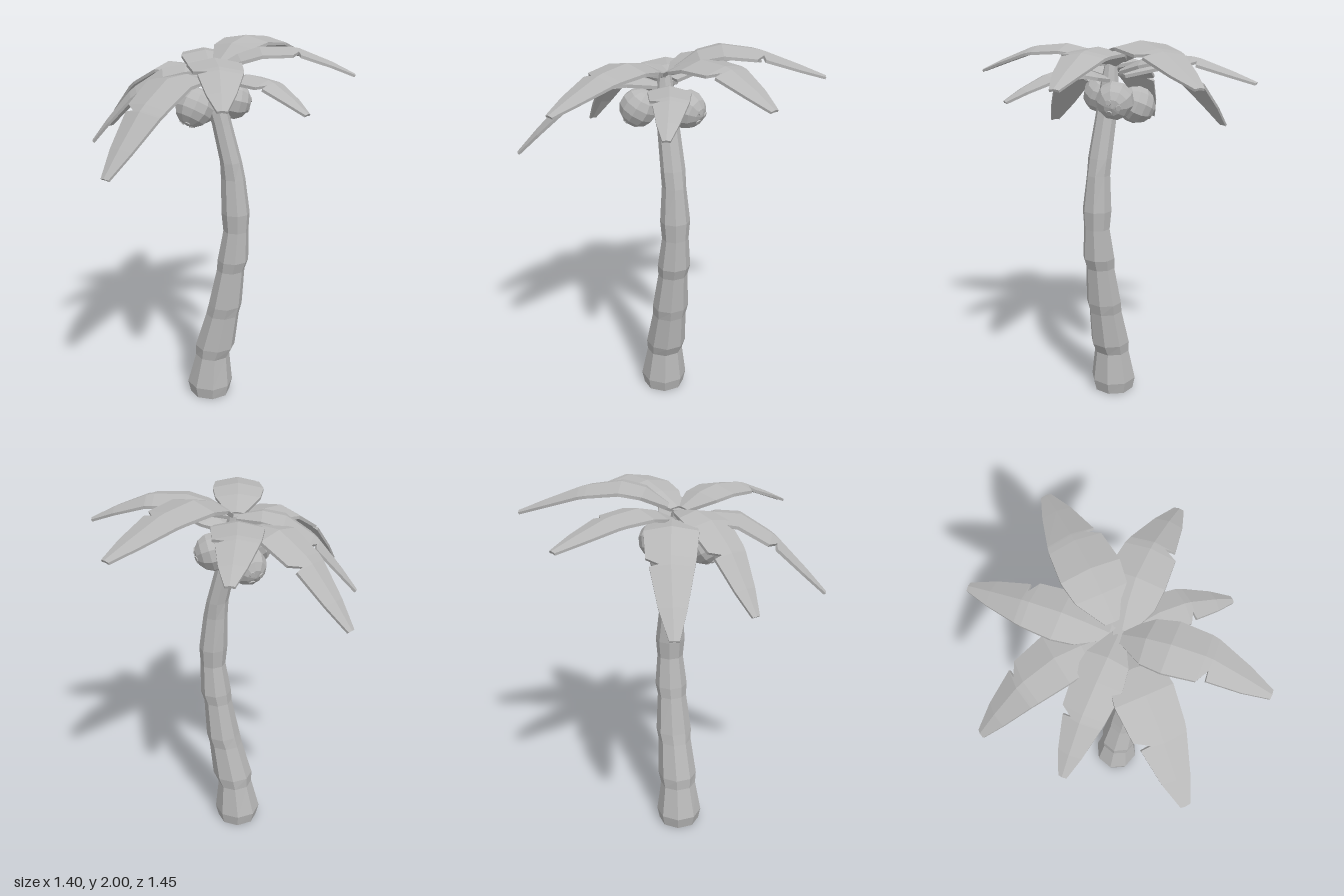
import * as THREE from 'three';

const V = (x, y, z) => new THREE.Vector3(x, y, z);
const grey = new THREE.MeshStandardMaterial({ color: 0xb8b8b8 });
grey.name = 'plain grey';

// Skin a list of equal-length rings, closing both ends; unshared corners keep every facet flat
function loft(rings) {
  const pos = [];
  const tri = (...pts) => pts.forEach((p) => pos.push(p.x, p.y, p.z));
  const n = rings[0].length;
  for (let r = 0; r < rings.length - 1; r++) {
    const a = rings[r], b = rings[r + 1];
    for (let i = 0; i < n; i++) {
      const j = (i + 1) % n;
      tri(a[i], b[i], a[j]);
      tri(a[j], b[i], b[j]);
    }
  }
  const first = rings[0], last = rings[rings.length - 1];
  for (let i = 1; i < n - 1; i++) {
    tri(first[0], first[i], first[i + 1]);
    tri(last[0], last[i + 1], last[i]);
  }
  const g = new THREE.BufferGeometry();
  g.setAttribute('position', new THREE.Float32BufferAttribute(pos, 3));
  g.computeVertexNormals();
  return g;
}

function part(name, geometry) {
  const m = new THREE.Mesh(geometry, grey);
  m.name = name;
  return m;
}

// Flat-shaded copy of a built-in geometry
function faceted(geometry) {
  const g = geometry.toNonIndexed();
  g.computeVertexNormals();
  return g;
}

// Eight-sided leaning trunk: [y, left x, right x, half depth] with a flare above each joint
function makeTrunk() {
  const profile = [
    [0, -0.12, 0.085, 0.105], [0.065, -0.135, 0.1, 0.117],
    [0.24, -0.09, 0.085, 0.092], [0.3, -0.09, 0.115, 0.1],
    [0.5, -0.03, 0.14, 0.085], [0.56, -0.015, 0.155, 0.092],
    [0.77, 0.03, 0.17, 0.074], [0.83, 0.035, 0.19, 0.082],
    [1.0, 0.065, 0.19, 0.066], [1.1, 0.055, 0.195, 0.074],
    [1.29, 0.05, 0.17, 0.058], [1.38, 0.045, 0.15, 0.061],
    [1.58, 0.0, 0.095, 0.055], [1.64, -0.02, 0.08, 0.054],
    [1.76, -0.03, 0.055, 0.045], [1.86, -0.03, 0.03, 0.03],
  ];
  const k = Math.cos(Math.PI / 8);
  return part('trunk', loft(profile.map(([y, x0, x1, d]) =>
    Array.from({ length: 8 }, (_, i) => {
      const a = (i + 0.5) * Math.PI / 4;
      return V((x0 + x1) / 2 + Math.cos(a) * (x1 - x0) / 2 / k, y, 0.02 + Math.sin(a) * d / k);
    }))));
}

// Folded, tapering frond with one notch torn from its edge
const frondStations = [ // position along the midrib, whole half width, notched half width
  [0, 0.04, 0.04], [0.17, 0.115, 0.115], [0.32, 0.132, 0.132], [0.53, 0.118, 0.118],
  [0.575, 0.112, 0.055], [0.585, 0.11, 0.1], [0.82, 0.068, 0.066], [1, 0.025, 0.022],
];
function makeFrond(points, width) {
  const curve = new THREE.CatmullRomCurve3(points.map((p) => V(...p)));
  const dir = points[3].map((v, i) => v - points[0][i]);
  const side = V(dir[2], 0, -dir[0]).normalize();
  const rings = frondStations.map(([t, whole, torn]) => {
    const c = curve.getPointAt(t);
    const up = curve.getTangentAt(t).cross(side).normalize();
    const thick = 0.018 - 0.006 * t;
    const at = (s, h) => c.clone().addScaledVector(side, s * width).addScaledVector(up, h);
    const fold = 0.2;
    return [
      at(0, 0.012), at(whole, 0.012 - whole * fold), at(whole, 0.012 - whole * fold - thick),
      at(0, 0.012 - thick), at(-torn, 0.012 - torn * fold - thick), at(-torn, 0.012 - torn * fold),
    ];
  });
  return part('frond', loft(rings));
}

// Faceted nut with three raised spots on the end that looks along dir
function makeCoconut(center, dir) {
  const nut = new THREE.Group();
  nut.name = 'coconut';
  const r = 0.1;
  nut.add(part('shell', faceted(new THREE.SphereGeometry(r, 10, 7))));
  const spot = faceted(new THREE.CylinderGeometry(0.014, 0.017, 0.012, 8));
  for (let i = 0; i < 3; i++) {
    const a = i * Math.PI * 2 / 3;
    const n = V(Math.cos(a) * 0.33, 0.94, Math.sin(a) * 0.33).normalize();
    const s = part('spot', spot);
    s.position.copy(n).multiplyScalar(r * 0.965);
    s.quaternion.setFromUnitVectors(V(0, 1, 0), n);
    nut.add(s);
  }
  nut.position.set(...center);
  nut.quaternion.setFromUnitVectors(V(0, 1, 0), V(...dir).normalize());
  return nut;
}

export function createModel() {
  const palm = new THREE.Group();
  palm.name = 'palmTree';
  palm.add(makeTrunk());

  // Crown of fronds: four midrib points from the heart to the tip, then a width scale
  const fronds = [
    [[[0.02, 1.86, 0.02], [0.19, 1.95, -0.06], [0.42, 1.945, -0.125], [0.69, 1.82, -0.19]], 1.05],
    [[[0.03, 1.78, 0.02], [0.2, 1.84, 0.09], [0.36, 1.81, 0.17], [0.53, 1.7, 0.27]], 0.8],
    [[[0.0, 1.86, 0.04], [0.05, 1.935, 0.2], [0.14, 1.92, 0.42], [0.23, 1.79, 0.71]], 1],
    [[[-0.02, 1.8, 0.05], [-0.13, 1.85, 0.25], [-0.22, 1.73, 0.45], [-0.33, 1.44, 0.7]], 1.08],
    [[[-0.01, 1.85, 0.02], [-0.19, 1.87, 0.08], [-0.4, 1.74, 0.13], [-0.6, 1.48, 0.18]], 0.9],
    [[[-0.03, 1.8, -0.02], [-0.25, 1.86, -0.11], [-0.46, 1.74, -0.19], [-0.69, 1.46, -0.26]], 1],
    [[[-0.02, 1.82, -0.03], [-0.1, 1.9, -0.2], [-0.17, 1.89, -0.4], [-0.25, 1.785, -0.69]], 0.97],
    [[[0.02, 1.88, -0.03], [0.08, 1.98, -0.18], [0.18, 1.965, -0.4], [0.33, 1.83, -0.72]], 1.1],
  ];
  fronds.forEach(([points, width]) => palm.add(makeFrond(points, width)));

  // Cluster of nuts under the crown
  palm.add(makeCoconut([-0.065, 1.68, 0.135], [-0.3, -0.85, 0.4]));
  palm.add(makeCoconut([0.08, 1.685, -0.065], [0.85, -0.25, -0.45]));
  palm.add(makeCoconut([-0.1, 1.64, -0.07], [-0.7, -0.4, -0.6]));
  return palm;
}
